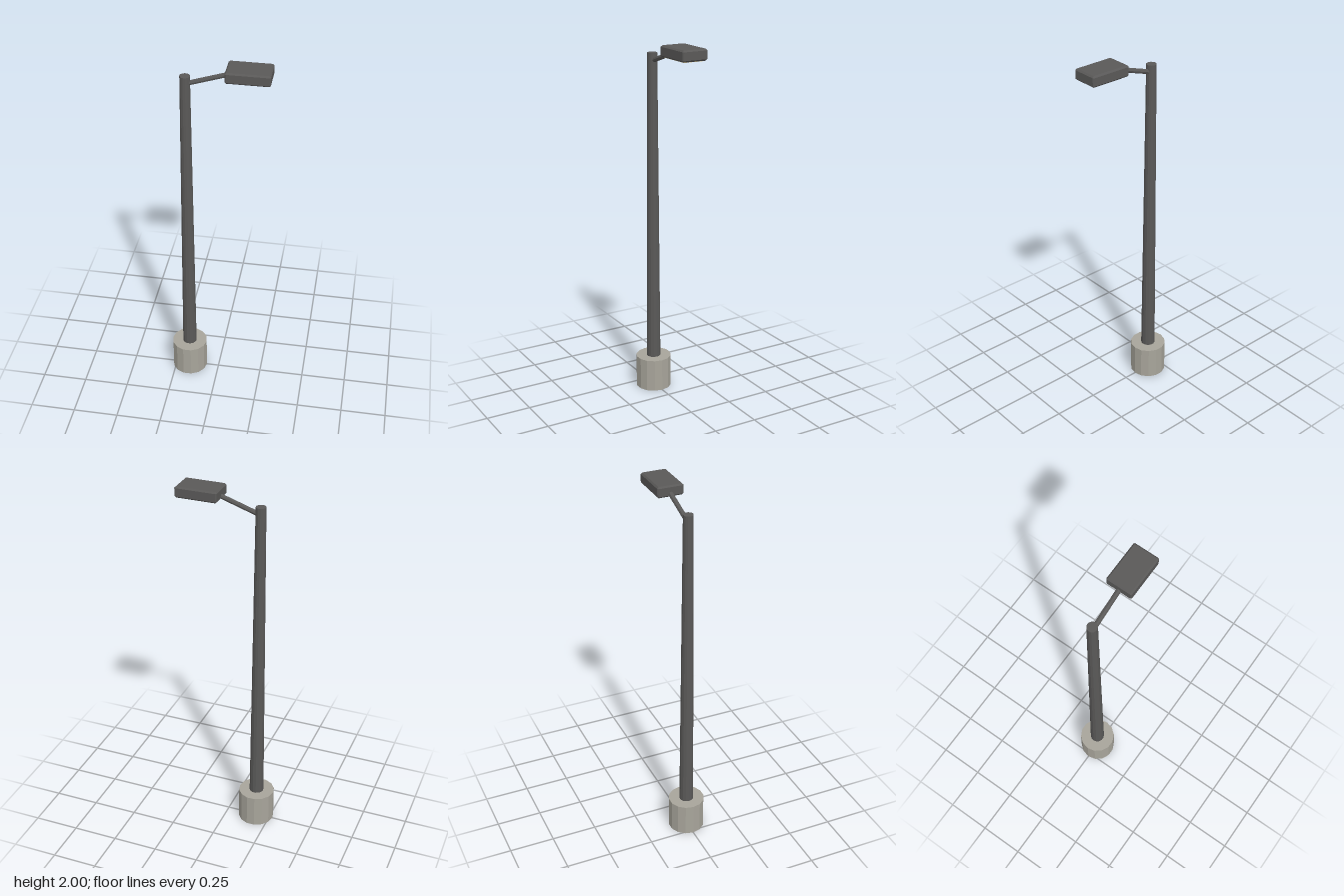
import * as THREE from 'three';

const POLE_X = -0.17;

function material(name, color) {
  const m = new THREE.MeshStandardMaterial({ color });
  m.name = name;
  m.flatShading = true;
  return m;
}

// Rectangle outline with cut corners
function cutRect(w, d, c) {
  const x = w / 2, y = d / 2;
  return new THREE.Shape([
    [-x + c, -y], [x - c, -y], [x, -y + c], [x, y - c],
    [x - c, y], [-x + c, y], [-x, y - c], [-x, -y + c],
  ].map(([a, b]) => new THREE.Vector2(a, b)));
}

export function createModel() {
  const group = new THREE.Group();
  group.name = 'streetLight';
  const concrete = material('concrete', 0xa8a59b);
  const metal = material('darkMetal', 0x5a5958);
  const glass = material('warmLens', 0xdfcc98);

  function add(name, geometry, mat) {
    const mesh = new THREE.Mesh(geometry, mat);
    mesh.name = name;
    group.add(mesh);
    return mesh;
  }

  // Upright cylinder with a corner pointing along x
  function upright(name, rTop, rBottom, y0, y1, mat) {
    const geometry = new THREE.CylinderGeometry(rTop, rBottom, y1 - y0, 14);
    geometry.rotateY(Math.PI / 2);
    add(name, geometry, mat).position.set(POLE_X, (y0 + y1) / 2, 0);
  }

  upright('base', 0.1, 0.1, 0, 0.185, concrete);
  upright('pole', 0.027, 0.04, 0.18, 1.93, metal);

  // Sloping arm from the pole into the lamp head
  const from = new THREE.Vector3(POLE_X + 0.01, 1.889, 0);
  const to = new THREE.Vector3(0.06, 1.961, 0);
  const along = to.clone().sub(from);
  const arm = add('arm', new THREE.CylinderGeometry(0.013, 0.013, along.length(), 8), metal);
  arm.position.copy(from).add(to).multiplyScalar(0.5);
  arm.quaternion.setFromUnitVectors(new THREE.Vector3(0, 1, 0), along.normalize());

  // Bevelled lamp head
  const bevel = 0.008, headHeight = 0.06;
  const headGeometry = new THREE.ExtrudeGeometry(cutRect(0.212, 0.128, 0.001), {
    depth: headHeight - 2 * bevel, bevelEnabled: true,
    bevelThickness: bevel, bevelSize: bevel, bevelSegments: 1,
  });
  headGeometry.rotateX(-Math.PI / 2);
  add('lampHead', headGeometry, metal).position.set(0.154, 2 - headHeight + bevel, 0);

  // Thin lens under the head
  add('lens', new THREE.BoxGeometry(0.195, 0.004, 0.115), glass).position.set(0.154, 1.939, 0);

  return group;
}
